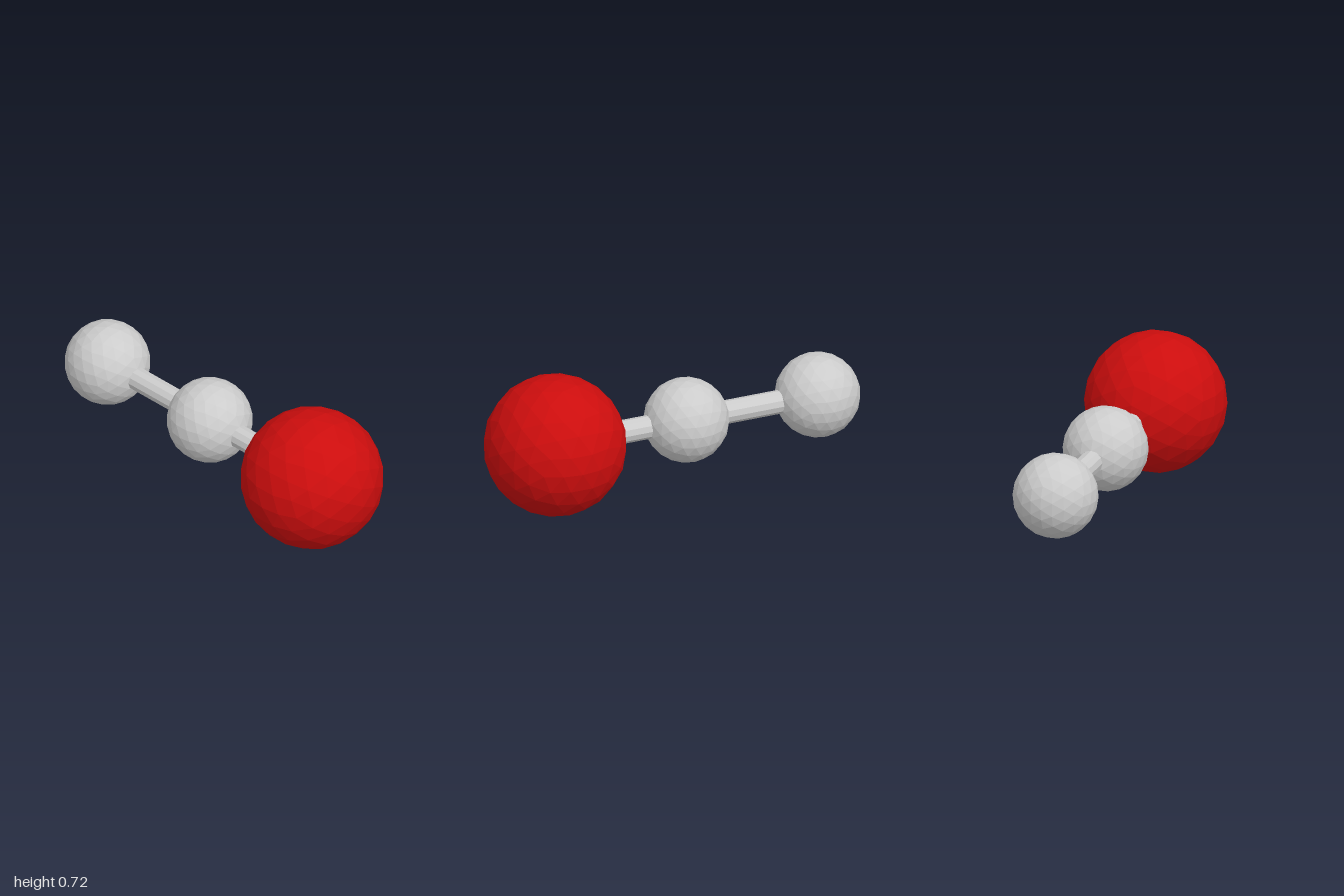
import * as THREE from 'three';

const Y = 0.36; // height of the common axis

// Faceted ball: an icosahedron halved twice, pushed out to the sphere each time
function ballGeometry(radius) {
  const base = new THREE.IcosahedronGeometry(1, 1);
  const points = Array.from(base.attributes.position.array);
  const faces = points.slice(0, points.length / 3).map((_, i) => i);
  return new THREE.PolyhedronGeometry(points, faces, radius, 1).rotateY(Math.PI / 2);
}

export function createModel() {
  const model = new THREE.Group();
  model.name = 'ballAndStickModel';
  const grey = new THREE.MeshStandardMaterial({ color: 0xcccccc, flatShading: true });
  const red = new THREE.MeshStandardMaterial({ color: 0xcc0d0d, flatShading: true });

  const add = (name, geometry, material, x) => {
    const mesh = new THREE.Mesh(geometry, material);
    mesh.name = name;
    mesh.position.set(x, Y, 0);
    model.add(mesh);
  };

  // Balls
  const balls = [
    ['endBall', -0.784, 0.216, grey],
    ['middleBall', -0.072, 0.216, grey],
    ['largeRedBall', 0.64, 0.36, red],
  ];
  for (const [name, x, radius, material] of balls) add(name, ballGeometry(radius), material, x);

  // Rods joining each ball to the next, centre to centre
  ['outerRod', 'innerRod'].forEach((name, i) => {
    const x0 = balls[i][1], x1 = balls[i + 1][1];
    const rod = new THREE.CylinderGeometry(0.06, 0.06, x1 - x0, 12).rotateZ(Math.PI / 2);
    add(name, rod, grey, (x0 + x1) / 2);
  });

  return model;
}
